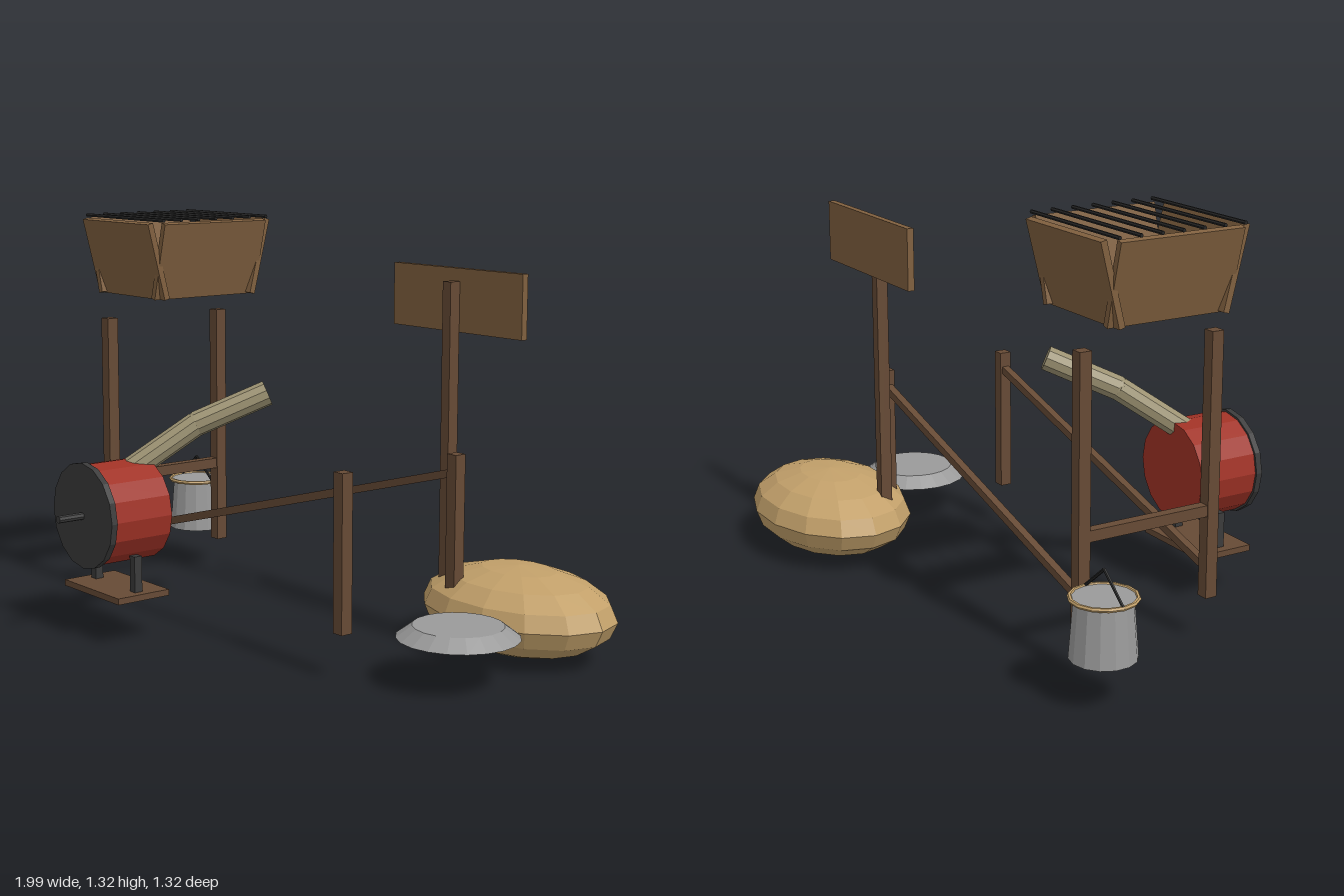
import * as THREE from 'three';

const mat = (color) => new THREE.MeshStandardMaterial({ color, flatShading: true });

export function createModel() {
  const root = new THREE.Group();
  const post = mat(0x664a35), board = mat(0x80603f), dark = mat(0x3a3a3a), black = mat(0x262626);
  const metal = mat(0x9a9a9a), red = mat(0xa03226), pipe = mat(0x9c9272), cloth = mat(0xc2a06a);

  const add = (name, geo, material, x, y, z, parent = root) => {
    const m = new THREE.Mesh(geo, material);
    m.name = name;
    m.position.set(x, y, z);
    parent.add(m);
    return m;
  };
  const box = (name, w, h, d, material, x, y, z, parent) =>
    add(name, new THREE.BoxGeometry(w, h, d), material, x, y, z, parent);
  const group = (name) => {
    const g = new THREE.Group();
    g.name = name;
    root.add(g);
    return g;
  };
  // straight round rod between two points
  const rod = (name, a, b, r, sides, material, parent) => {
    const dir = b.clone().sub(a);
    const c = a.clone().add(b).multiplyScalar(0.5);
    const m = add(name, new THREE.CylinderGeometry(r, r, dir.length(), sides), material, c.x, c.y, c.z, parent);
    m.quaternion.setFromUnitVectors(new THREE.Vector3(0, 1, 0), dir.normalize());
    return m;
  };
  const V = (x, y, z) => new THREE.Vector3(x, y, z);

  // hopper: four leaning boards with an open bottom and a grate of bars
  const hopper = group('hopper');
  hopper.position.set(-0.61, 1.178, -0.021);
  for (const s of [-1, 1]) {
    box('hopperSide', 0.02, 0.258, 0.414, board, s * 0.1885, 0, 0, hopper).rotation.z = -s * 0.25;
    box('hopperEnd', 0.39, 0.258, 0.02, board, 0, 0, s * 0.208, hopper).rotation.x = s * 0.25;
  }
  for (let i = -3; i <= 3; i++)
    rod('grateBar', V(-0.228, 0.135, i * 0.07), V(0.228, 0.135, i * 0.07), 0.006, 6, black, hopper);

  // frame: tall and short posts, sloping rails and a cross bar
  const frame = group('frame');
  for (const z of [0.206, -0.249]) {
    box('tallPost', 0.04, 0.829, 0.04, post, -0.684, 0.5585, z, frame);
    box('shortPost', 0.04, 0.486, 0.04, post, 0.535, 0.387, z, frame);
    const rail = box('slopingRail', 1.26, 0.025, 0.025, post, -0.0745, 0.404, z, frame);
    rail.rotation.z = Math.atan2(0.338, 1.219);
  }
  box('crossBar', 0.034, 0.035, 0.44, post, -0.684, 0.423, -0.021, frame);

  // blower: drum with face plate, shaft, stand and bent outlet pipe
  const blower = group('blower');
  const zCyl = (name, r, z0, z1, sides, material) => {
    const m = add(name, new THREE.CylinderGeometry(r, r, z1 - z0, sides), material, -0.295, 0.406, (z0 + z1) / 2, blower);
    m.rotation.x = Math.PI / 2;
  };
  zCyl('drum', 0.163, 0.345, 0.557, 16, red);
  zCyl('drumFace', 0.17, 0.555, 0.576, 16, dark);
  zCyl('shaft', 0.012, 0.57, 0.665, 8, dark);
  box('standPlate', 0.312, 0.02, 0.192, post, -0.295, 0.154, 0.452, blower);
  for (const s of [-1, 1]) box('standLeg', 0.027, 0.13, 0.028, dark, -0.294 + s * 0.1125, 0.215, 0.452, blower);
  const bend = V(-0.19, 0.675, 0.206);
  rod('lowerPipe', V(-0.29, 0.53, 0.4), bend, 0.04, 10, pipe, blower);
  rod('upperPipe', bend, V(-0.065, 0.772, 0.014), 0.041, 10, pipe, blower);
  add('pipeElbow', new THREE.SphereGeometry(0.039, 10, 8), pipe, bend.x, bend.y, bend.z, blower);

  // bucket with rim and wire handle
  const bucket = group('bucket');
  bucket.position.set(-0.893, 0, -0.306);
  add('bucketBody', new THREE.CylinderGeometry(0.086, 0.1, 0.18, 14), metal, 0, 0.234, 0, bucket);
  const rim = add('bucketRim', new THREE.TorusGeometry(0.097, 0.007, 6, 14), cloth, 0, 0.323, 0, bucket);
  rim.rotation.x = Math.PI / 2;
  add('bucketTop', new THREE.CylinderGeometry(0.095, 0.095, 0.006, 14), metal, 0, 0.322, 0, bucket);
  for (const s of [-1, 1]) rod('bucketHandle', V(s * 0.1, 0.322, 0), V(0, 0.405, 0), 0.005, 6, black, bucket);

  // blank sign on its post
  const sign = group('sign');
  box('signPost', 0.035, 1.003, 0.039, post, 0.43, 0.6455, -0.318, sign);
  box('signBoard', 0.567, 0.198, 0.022, board, 0.43, 1.088, -0.349, sign);

  // sack and upturned pan
  const sack = add('sack', new THREE.SphereGeometry(1, 14, 8), cloth, 0.65, 0.14, -0.415);
  sack.scale.set(0.347, 0.138, 0.25);
  add('pan', new THREE.CylinderGeometry(0.137, 0.185, 0.036, 20), metal, 0.786, 0.167, -0.025);

  return root;
}
